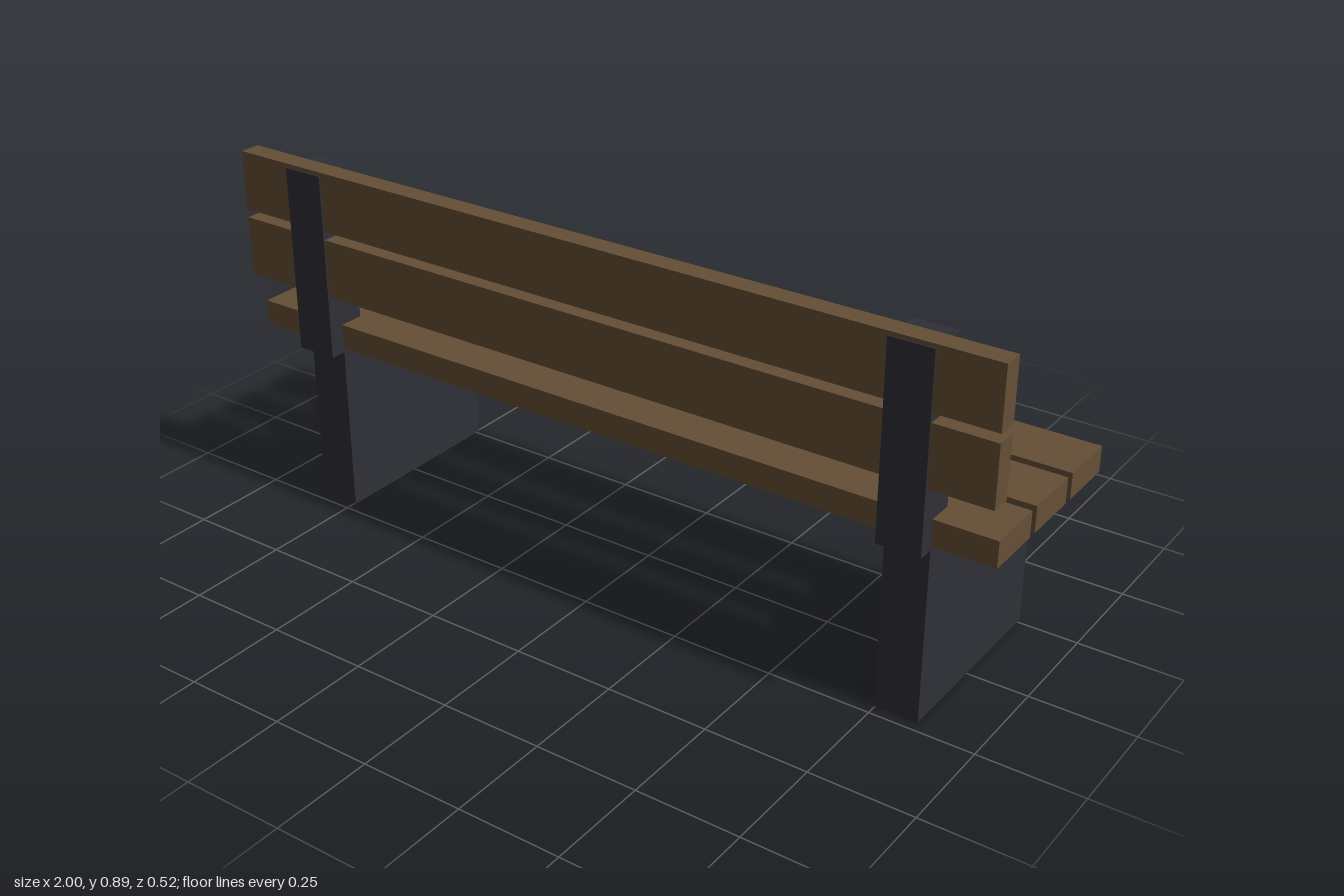
import * as THREE from 'three';

export function createModel() {
  const bench = new THREE.Group();
  bench.name = 'bench';
  const wood = new THREE.MeshStandardMaterial({ name: 'brown wood', color: 0x654f35 });
  const dark = new THREE.MeshStandardMaterial({ name: 'dark metal', color: 0x2f2f38 });

  // Box given by its ranges along y and z
  function box(name, material, width, x, [y0, y1], [z0, z1]) {
    const mesh = new THREE.Mesh(new THREE.BoxGeometry(width, y1 - y0, z1 - z0), material);
    mesh.name = name;
    mesh.position.set(x, (y0 + y1) / 2, (z0 + z1) / 2);
    bench.add(mesh);
  }

  // Three seat planks
  [-0.189, -0.02, 0.149].forEach((z, i) =>
    box(`seatPlank${i + 1}`, wood, 2, 0, [0.432, 0.495], [z - 0.0735, z + 0.0735]));

  // Two backrest planks
  [0.58, 0.748].forEach((y, i) =>
    box(`backPlank${i + 1}`, wood, 2, 0, [y, y + 0.147], [0.207, 0.258]));

  // Slab legs and backrest posts, mirrored
  for (const [side, x] of [['left', 0.8], ['right', -0.8]]) {
    box(`${side}Leg`, dark, 0.105, x, [0, 0.421], [-0.262, 0.222]);
    box(`${side}BackPost`, dark, 0.105, x, [0.422, 0.886], [0.159, 0.262]);
  }
  return bench;
}
